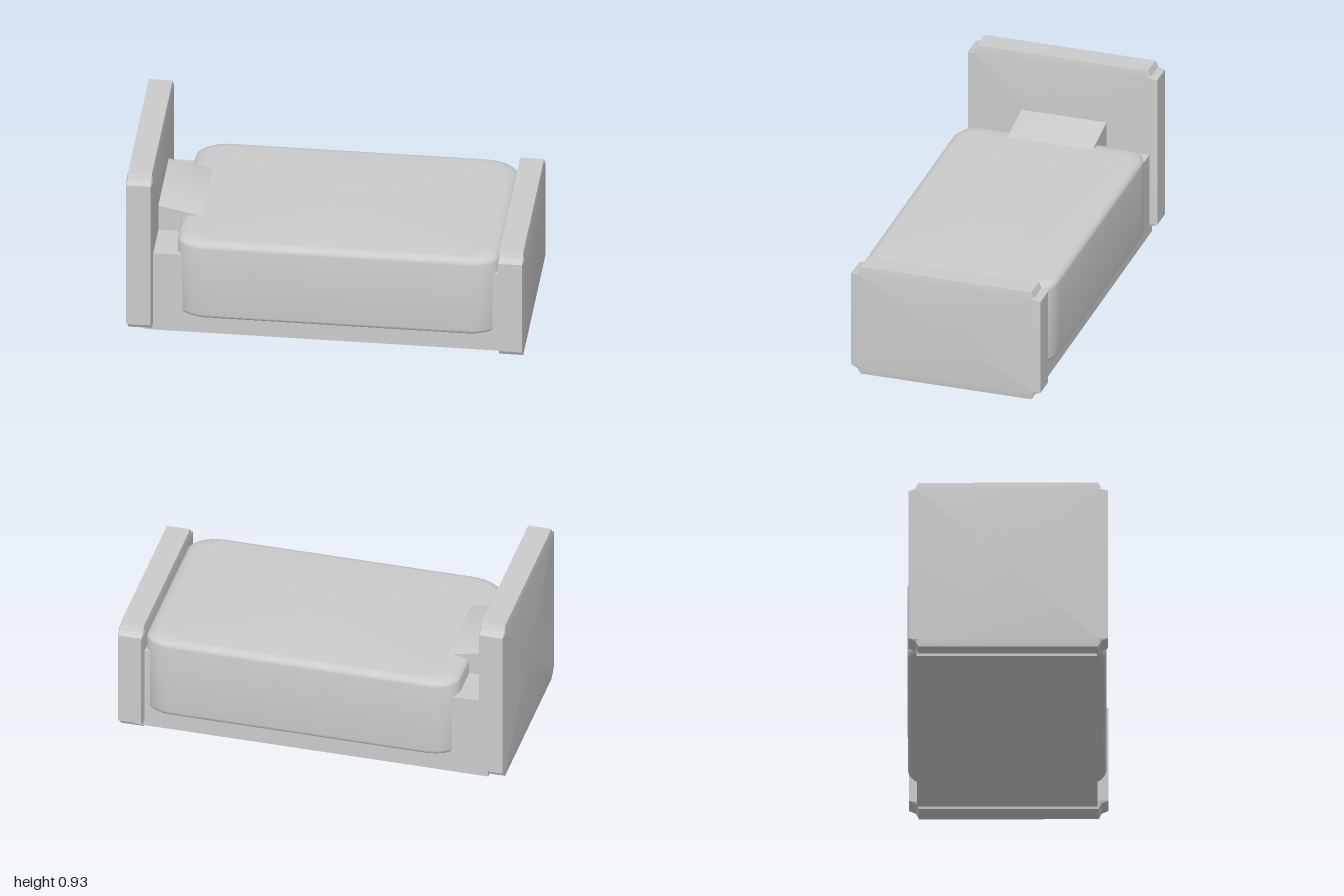
import * as THREE from 'three';
import { toCreasedNormals } from 'three/addons/utils/BufferGeometryUtils.js';

const material = new THREE.MeshStandardMaterial({ color: 0xcccccc });

function addPart(group, name, geometry, crease = 0.2) {
  const mesh = new THREE.Mesh(toCreasedNormals(geometry, crease), material);
  mesh.name = name;
  group.add(mesh);
  return mesh;
}

// Skins a stack of equal-sized rings (counter-clockwise seen from the last ring) and caps both ends.
function loft(rings) {
  const n = rings[0].length;
  const positions = rings.flat(2);
  const index = [];
  for (let r = 0; r < rings.length - 1; r++) {
    for (let i = 0; i < n; i++) {
      const a = r * n + i, b = r * n + (i + 1) % n;
      index.push(a, b, b + n, a, b + n, a + n);
    }
  }
  const last = (rings.length - 1) * n;
  [rings[0], rings[rings.length - 1]].forEach((ring, end) => {
    const centre = positions.length / 3;
    for (let k = 0; k < 3; k++) positions.push(ring.reduce((s, p) => s + p[k], 0) / n);
    for (let i = 0; i < n; i++) {
      const j = (i + 1) % n;
      if (end) index.push(centre, last + i, last + j);
      else index.push(centre, j, i);
    }
  });
  const geometry = new THREE.BufferGeometry();
  geometry.setAttribute('position', new THREE.Float32BufferAttribute(positions, 3));
  geometry.setIndex(index);
  return geometry;
}

// Upright end panel with notched corners and a shallow bevel round each face.
function boardGeometry(x0, x1, y0, y1) {
  const h = (y1 - y0) / 2, yc = (y0 + y1) / 2, zc = 0.003, w = 0.497;
  const outline = (corner) => [[1, -1], [1, 1], [-1, 1], [-1, -1]].flatMap(([sy, sz]) => {
    const points = corner.map(([dy, dz]) => [yc + sy * (h - dy), zc + sz * (w - dz)]);
    return sy * sz > 0 ? points : points.reverse();
  });
  const outer = outline([[0, 0.049], [0.03, 0.034], [0.045, 0]]);
  const inner = outline([[0.036, 0.049], [0.038, 0.044], [0.045, 0.04]]);
  const at = (ring, x) => ring.map(([y, z]) => [x, y, z]);
  return loft([at(inner, x0), at(outer, x0 + 0.006), at(outer, x1 - 0.006), at(inner, x1)]);
}

// Rounded rectangle ring in plan, shrunk by an inset on each axis.
function blanketRing(y, insetX, insetZ) {
  const hx = 0.808 - insetX, hz = 0.495 - insetZ;
  const rx = Math.max(0.15 - insetX * 0.5, 0.05), rz = Math.max(0.11 - insetZ * 0.5, 0.04);
  const ring = [];
  const steps = 10;
  [[1, 1], [-1, 1], [-1, -1], [1, -1]].forEach(([sz, sx], q) => {
    for (let i = 0; i <= steps; i++) {
      const a = (q + i / steps) * Math.PI / 2;
      ring.push([0.057 + sx * (hx - rx) + rx * Math.sin(a), y, -0.005 + sz * (hz - rz) + rz * Math.cos(a)]);
    }
  });
  return ring;
}

function blanketGeometry() {
  const rings = [];
  const steps = 6;
  // Rounded lower hem
  for (let i = 0; i <= steps; i++) {
    const a = i / steps * Math.PI / 2;
    const inset = 0.025 * (1 - Math.sin(a));
    rings.push(blanketRing(0.145 - 0.025 * Math.cos(a), inset, inset));
  }
  // Softer upper edge
  for (let i = 0; i <= steps; i++) {
    const a = i / steps * Math.PI / 2;
    const k = 1 - Math.cos(a);
    rings.push(blanketRing(0.525 + 0.035 * Math.sin(a), 0.11 * k, 0.045 * k));
  }
  return loft(rings);
}

// Sloping wedge that runs under the blanket.
function pillowGeometry() {
  const side = new THREE.Shape([
    new THREE.Vector2(-0.89, 0.44), new THREE.Vector2(-0.55, 0.44),
    new THREE.Vector2(-0.55, 0.535), new THREE.Vector2(-0.89, 0.605),
  ]);
  const geometry = new THREE.ExtrudeGeometry(side, {
    depth: 0.435, bevelEnabled: true, bevelThickness: 0.007, bevelSize: 0.005, bevelSegments: 2,
  });
  return geometry.translate(0, 0, -0.222);
}

export function createModel() {
  const bed = new THREE.Group();
  bed.name = 'bed';

  addPart(bed, 'headboard', boardGeometry(-1, -0.868, 0.025, 0.926));
  addPart(bed, 'footboard', boardGeometry(0.864, 0.996, 0, 0.6));

  const base = addPart(bed, 'mattressBase', new THREE.BoxGeometry(1.82, 0.447, 0.9));
  base.position.set(0, 0.2365, -0.005);

  addPart(bed, 'blanket', blanketGeometry(), 0.7);
  addPart(bed, 'pillow', pillowGeometry(), 0.5);

  return bed;
}
